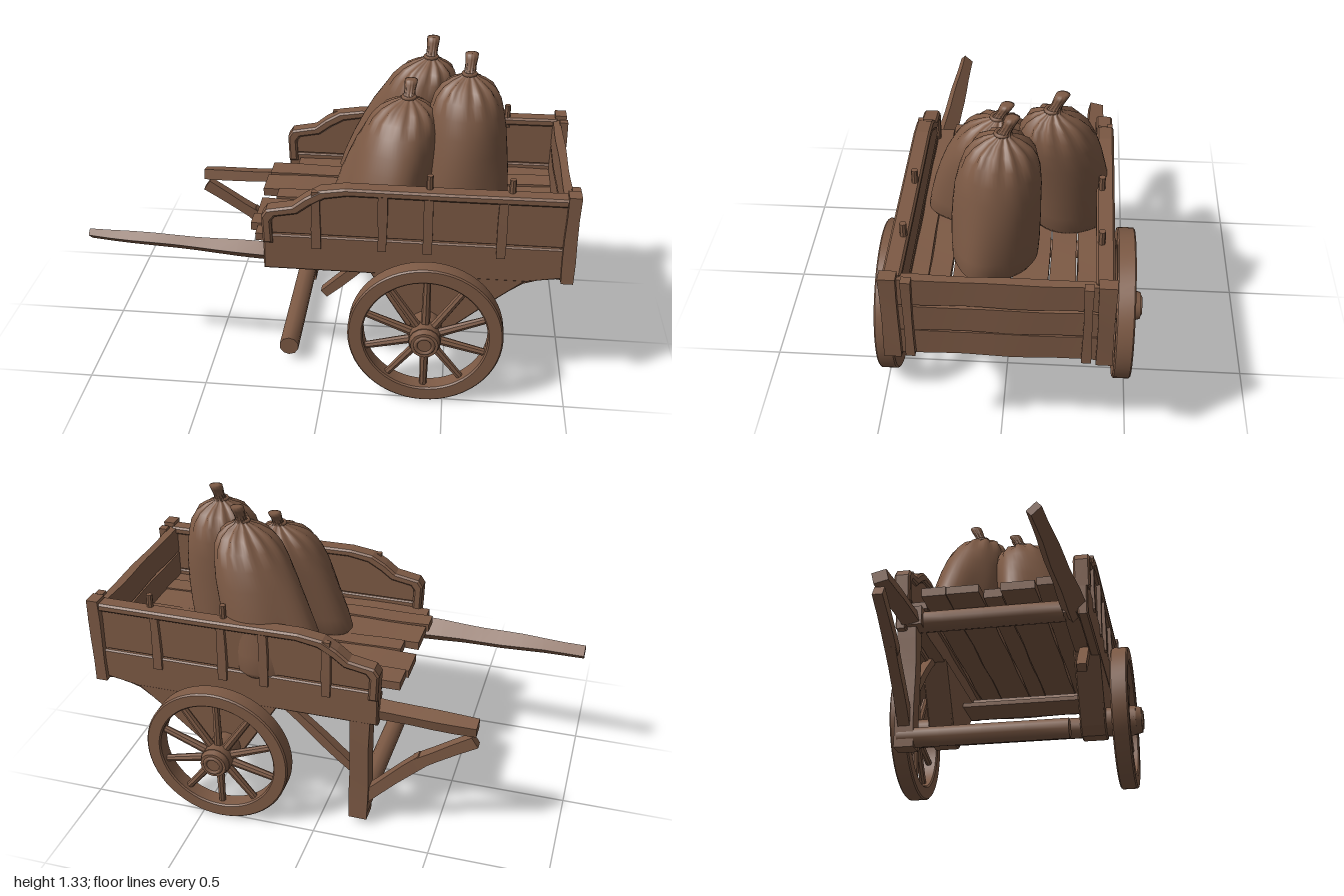
import * as THREE from 'three';
import { mergeVertices, toCreasedNormals } from 'three/addons/utils/BufferGeometryUtils.js';

const wood = new THREE.MeshStandardMaterial({ color: 0x7d5a45 });
wood.name = 'brown wood';
const V = (x, y, z) => new THREE.Vector3(x, y, z);
let seed = 3;
const rnd = () => (seed = (seed * 16807) % 2147483647) / 2147483647;

export function createModel() {
  const root = new THREE.Group();
  root.name = 'handcart';

  function add(name, geo, parent = root) {
    const m = new THREE.Mesh(geo, wood);
    m.name = name;
    parent.add(m);
    return m;
  }

  // Slightly uneven plank from a to b; h and w are its cross-section, taper scales it at b
  function plank(name, a, b, h, w, wob = 0.002, taper = 1) {
    const len = a.distanceTo(b);
    const n = Math.max(2, Math.round(len / 0.09));
    const geo = new THREE.BoxGeometry(len, h, w, n, 1, 1);
    const p = geo.attributes.position, k = rnd() * 9;
    for (let i = 0; i < p.count; i++) {
      const x = p.getX(i), y = p.getY(i), z = p.getZ(i);
      const s = 1 + (taper - 1) * (x / len + 0.5);
      p.setY(i, y * s + wob * Math.sin(x * 17 + k + Math.sign(y)));
      p.setZ(i, z * s + wob * Math.sin(x * 13 + 2 * k + 2 * Math.sign(z)));
    }
    const m = add(name, toCreasedNormals(geo, 0.5));
    m.position.copy(a).lerp(b, 0.5);
    m.quaternion.setFromUnitVectors(V(1, 0, 0), b.clone().sub(a).normalize());
    return m;
  }

  // Round pole from a to b
  function pole(name, a, b, r1, r2 = r1, sides = 12, parent = root) {
    const geo = new THREE.CylinderGeometry(r2, r1, a.distanceTo(b), sides, 4);
    const m = add(name, toCreasedNormals(geo, 0.7), parent);
    m.position.copy(a).lerp(b, 0.5);
    m.quaternion.setFromUnitVectors(V(0, 1, 0), b.clone().sub(a).normalize());
    return m;
  }

  // Flat outline in x and y, extruded between two z values
  function slab(name, pts, z0, z1, bevel = 0) {
    const shape = new THREE.Shape(pts.map(([x, y]) => new THREE.Vector2(x, y)));
    const geo = new THREE.ExtrudeGeometry(shape, {
      depth: z1 - z0 - 2 * bevel, bevelEnabled: bevel > 0, bevelSize: bevel,
      bevelThickness: bevel, bevelOffset: -bevel, bevelSegments: 1,
    });
    const m = add(name, geo);
    m.position.z = z0 + bevel;
    return m;
  }

  // Floor boards with uneven front ends
  const edges = [-0.36, -0.28, -0.175, -0.03, 0.05, 0.2, 0.29, 0.36];
  const starts = [-0.2, -0.31, -0.32, -0.25, -0.31, -0.32, -0.29];
  starts.forEach((s, i) => {
    const z = (edges[i] + edges[i + 1]) / 2, y = 0.655 + 0.006 * (i % 2);
    plank('floorBoard', V(s, y, z), V(0.94, y, z), 0.035, edges[i + 1] - edges[i] - 0.005);
  });

  // Side walls: stacked boards, curved top rail, battens and pegs
  const top = [[-0.25, 0.66], [-0.255, 0.78], [-0.235, 0.81], [-0.13, 0.83], [-0.08, 0.87], [-0.02, 0.905],
    [0.08, 0.92], [0.5, 0.918], [0.95, 0.92]];
  const under = [[0.95, 0.885], [0.5, 0.884], [0.09, 0.886], [0.0, 0.87], [-0.06, 0.835], [-0.11, 0.797],
    [-0.2, 0.78], [-0.215, 0.76], [-0.21, 0.66]];
  for (const s of [-1, 1]) {
    const band = (name, pts, a, b, bev) => slab(name, pts, s > 0 ? a : -b, s > 0 ? b : -a, bev);
    band('sideTopRail', [...top, ...under], 0.345, 0.415, 0.008);
    band('sideUpperBoard', [[-0.22, 0.698], ...under.slice().reverse().slice(1), [0.95, 0.698]], 0.36, 0.394, 0.003);
    band('sideLowerBoard', [[-0.25, 0.535], [0.8, 0.535], [0.955, 0.56], [0.955, 0.694], [-0.25, 0.694]],
      0.358, 0.402, 0.006);
    for (const x of [-0.035, 0.23, 0.41, 0.7])
      plank('sideBatten', V(x, 0.645, s * 0.4), V(x, 0.9, s * 0.4), 0.036, 0.024);
    for (const x of [0.41, 0.73]) pole('peg', V(x, 0.87, s * 0.365), V(x, 0.975, s * 0.365), 0.015, 0.013, 8);

    // Rear corner posts and tailgate cleats
    plank('cornerPost', V(0.967, 0.55, s * 0.39), V(0.967, 0.935, s * 0.39), 0.05, 0.062);
    plank('tailgateCleat', V(0.977, 0.56, s * 0.324), V(0.977, 0.925, s * 0.324), 0.034, 0.034);

    // Angled axle bracket below the bed
    band('axleBracket', [[0.17, 0.56], [0.35, 0.27], [0.39, 0.235], [0.46, 0.235], [0.52, 0.29],
      [0.68, 0.43], [0.8, 0.53], [0.93, 0.56]], 0.285, 0.4, 0.006);
    plank('bedBeam', V(-0.24, 0.595, s * 0.325), V(0.92, 0.595, s * 0.325), 0.085, 0.06);
  }

  // Tailgate boards
  for (const [a, b] of [[0.55, 0.664], [0.67, 0.784], [0.795, 0.912]])
    plank('tailgateBoard', V(0.948, (a + b) / 2, -0.39), V(0.948, (a + b) / 2, 0.39), b - a, 0.035);

  // Underside between the brackets, sloping down from the tailgate and then level
  slab('undersideRear', [[0.94, 0.56], [0.86, 0.545], [0.8, 0.525], [0.71, 0.46], [0.52, 0.46], [0.52, 0.48],
    [0.69, 0.48], [0.78, 0.56], [0.8, 0.6], [0.94, 0.6]], -0.395, 0.395);
  pole('frontBolster', V(-0.17, 0.59, -0.38), V(-0.17, 0.59, 0.3), 0.045);

  // Shafts: one whole and tapering, one snapped short
  plank('longShaft', V(-0.18, 0.58, 0.345), V(-1, 0.598, 0.305), 0.088, 0.058, 0.002, 0.55);
  plank('brokenShaft', V(-0.2, 0.582, -0.342), V(-0.65, 0.572, -0.35), 0.075, 0.052, 0.002, 0.85);

  // Prop leg with foot bar, strut and braces
  plank('propLeg', V(-0.168, 0.035, -0.36), V(-0.175, 0.6, -0.36), 0.082, 0.08);
  pole('footBar', V(-0.17, 0.082, -0.39), V(-0.17, 0.082, 0.305), 0.042, 0.042, 10);
  plank('strutUpper', V(-0.645, 0.515, -0.355), V(-0.405, 0.36, -0.358), 0.05, 0.045);
  plank('strutLower', V(-0.435, 0.382, -0.358), V(-0.19, 0.14, -0.36), 0.053, 0.046);
  plank('legBrace', V(-0.15, 0.27, -0.36), V(0.19, 0.58, -0.36), 0.038, 0.04);
  plank('brokenBrace', V(-0.01, 0.4, 0.34), V(0.19, 0.58, 0.34), 0.038, 0.04);

  // Axle and spoked wheels
  const cx = 0.418, cy = 0.305;
  pole('axle', V(cx, cy - 0.02, -0.3), V(cx, cy - 0.02, 0.3), 0.047);
  for (const s of [-1, 1]) {
    const wheel = new THREE.Group();
    wheel.name = s > 0 ? 'frontWheel' : 'rearWheel';
    wheel.position.set(cx, 0, 0);
    root.add(wheel);
    const ring = new THREE.Shape().absarc(0, 0, 0.309, 0, Math.PI * 2);
    ring.holes.push(new THREE.Path().absarc(0, 0, 0.259, 0, Math.PI * 2, true));
    const rimGeo = new THREE.ExtrudeGeometry(ring, {
      depth: 0.063, curveSegments: 28, bevelSize: 0.006, bevelThickness: 0.006, bevelSegments: 1,
    });
    const rim = add('rim', toCreasedNormals(rimGeo, 0.5), wheel);
    rim.position.set(0, 0.32, s * 0.481 - 0.0315);
    for (let i = 0; i < 10; i++) {
      const a = (i / 10) * Math.PI * 2 + Math.PI / 2;
      const c = Math.cos(a), d = Math.sin(a);
      pole('spoke', V(c * 0.04, cy + d * 0.04, s * 0.483), V(c * 0.27, 0.32 + d * 0.27, s * 0.481),
        0.019, 0.015, 8, wheel);
    }
    pole('hub', V(0, cy, s * 0.3), V(0, cy, s * 0.53), 0.064, 0.066, 16, wheel);
    pole('hubCap', V(0, cy, s * 0.52), V(0, cy, s * 0.555), 0.066, 0.056, 16, wheel);
    const collar = add('hubCollar', new THREE.TorusGeometry(0.036, 0.009, 6, 16), wheel);
    collar.position.set(0, cy, s * 0.554);
  }

  // Tied sacks: a lathed bag that leans, with base corners and pleats under the knot
  const profile = [[0, 0], [0.9, 0], [1, 0.05], [1.02, 0.18], [1.02, 0.35], [1, 0.5], [0.97, 0.64], [0.9, 0.77],
    [0.78, 0.87], [0.6, 0.94], [0.38, 0.985], [0.2, 1.01], [0.13, 1.04], [0.13, 1.08], [0.15, 1.12],
    [0.16, 1.15], [0.08, 1.155], [0, 1.15]];
  function sack(name, base, neck, r, corners) {
    const h = neck.y - base.y;
    let geo = new THREE.LatheGeometry(profile.map(([a, b]) => new THREE.Vector2(a * r, b * h)), 60);
    const p = geo.attributes.position;
    for (let i = 0; i < p.count; i++) {
      const x = p.getX(i), y = p.getY(i), z = p.getZ(i), t = y / h, a = Math.atan2(z, x);
      let k = 1;
      for (const [ang, amp] of corners)
        k += amp * Math.max(0, Math.cos(a - ang)) ** 10 * Math.max(0, 1 - t / 0.8);
      const pleat = Math.max(0, 1 - Math.abs(t - 0.99) / 0.17);
      k *= 1 + 0.13 * pleat * Math.sin(a * 12) + 0.015 * Math.sin(a * 3 + t * 6);
      const lean = Math.min(1, t) ** 1.3, tip = Math.max(0, t - 1);
      p.setXYZ(i, base.x + (neck.x - base.x) * lean + x * k + tip * 0.04, base.y + y,
        base.z + (neck.z - base.z) * lean + z * k - tip * 0.25);
    }
    geo.deleteAttribute('uv');
    geo.deleteAttribute('normal');
    geo = mergeVertices(geo, 1e-5);
    geo.computeVertexNormals();
    add(name, geo);
    // Cord around the neck
    const cord = add('sackCord', new THREE.TorusGeometry(r * 0.15, 0.008, 6, 16));
    cord.rotation.x = Math.PI / 2;
    cord.position.set(neck.x, neck.y + h * 0.025, neck.z);
  }
  sack('tallSack', V(0.54, 0.67, 0.045), V(0.545, 1.25, 0.01), 0.168, [[0.35, 0.15]]);
  sack('backSack', V(0.25, 0.67, -0.24), V(0.385, 1.25, -0.165), 0.168, [[-2.96, 0.62], [-1.2, 0.08]]);
  sack('frontSack', V(0.22, 0.67, 0.14), V(0.305, 1.155, 0.045), 0.167, [[-2.72, 0.55], [1.26, 0.25]]);

  return root;
}
